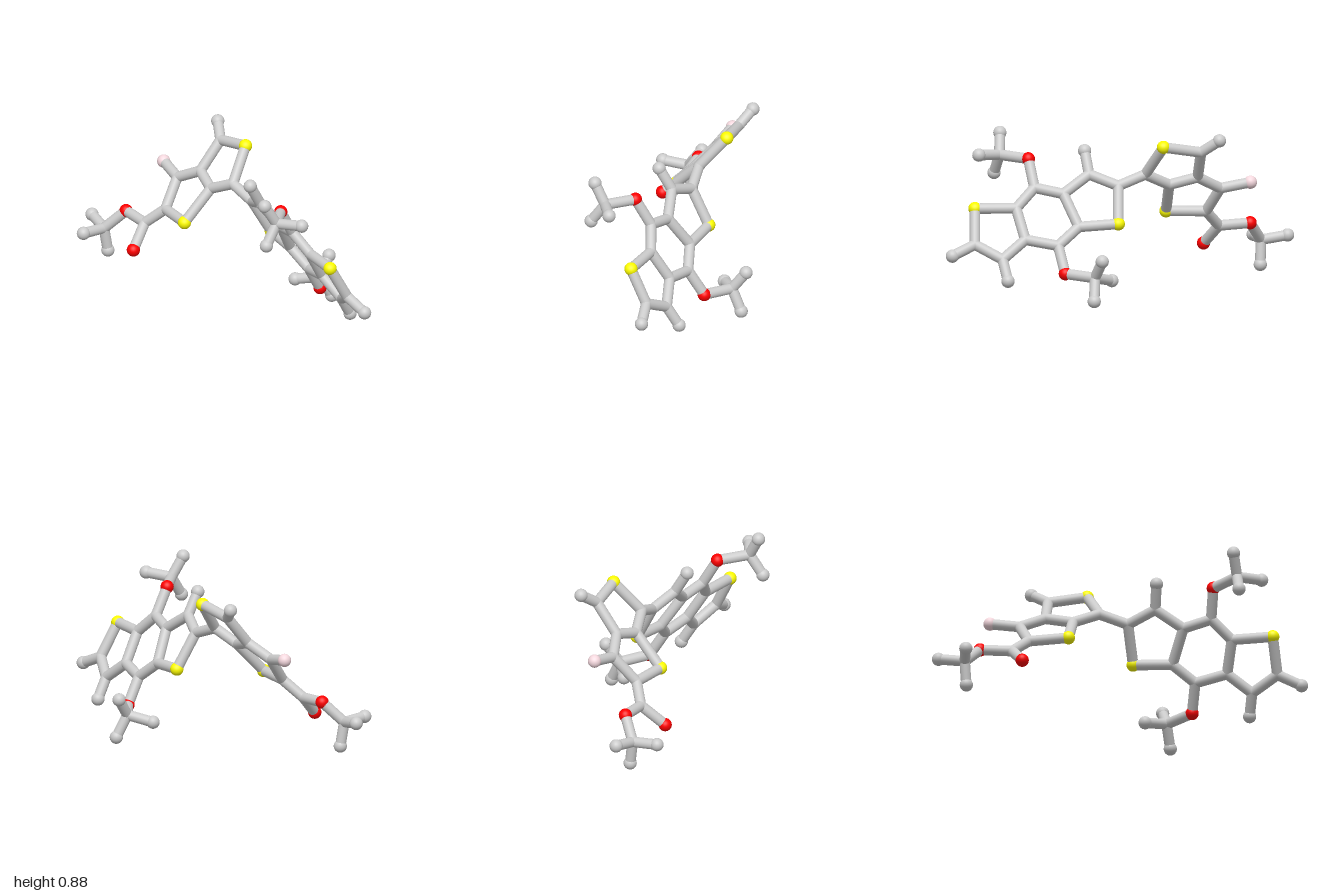
import * as THREE from 'three';

const STICK = 0.028, BALL = 0.035;
const material = (color) => new THREE.MeshStandardMaterial({ color });
const grey = material(0xcccccc);

// Kinds of ball: joints are as wide as the sticks, the rest stand proud
const kinds = {
  joint: { radius: STICK, material: grey },
  endBall: { radius: BALL, material: grey },
  redBall: { radius: BALL, material: material(0xff0000) },
  yellowBall: { radius: BALL, material: material(0xffff00) },
  pinkBall: { radius: BALL, material: material(0xf4d8de) },
};
const kindOf = { c: 'joint', h: 'endBall', o: 'redBall', s: 'yellowBall', f: 'pinkBall' };

// Ball centres, the first letter of the key gives the kind; bonds are chains of keys
const sections = {
  leftRings: {
    atoms: {
      s1: [-0.14, 0.805, -0.19], c2: [-0.345, 0.77, -0.21], h2: [-0.425, 0.835, -0.27],
      c3: [-0.375, 0.62, -0.09], c4: [-0.238, 0.58, -0.03], c5: [-0.094, 0.645, -0.05],
      s6: [-0.282, 0.418, 0.122], c7: [-0.484, 0.414, 0.06], c8: [-0.516, 0.55, -0.06],
      f8: [-0.666, 0.58, -0.11],
    },
    bonds: ['s1 c2 c3 c4 c5 s1', 'c4 s6 c7 c8 c3', 'c2 h2', 'c8 f8'],
  },
  leftSideChain: {
    atoms: {
      c9: [-0.58, 0.324, 0.118], o9: [-0.543, 0.217, 0.24], o10: [-0.746, 0.333, 0.09],
      c10: [-0.837, 0.228, 0.163], h10: [-0.97, 0.252, 0.118],
      h11: [-0.826, 0.1, 0.145], h12: [-0.85, 0.237, 0.303],
    },
    bonds: ['c7 c9 o10 c10 h10', 'c9 o9', 'h11 c10 h12'],
  },
  rightRings: {
    atoms: {
      c11: [0.056, 0.592, -0.043], s12: [0.097, 0.406, -0.143], c13: [0.297, 0.393, -0.084],
      c14: [0.34, 0.556, 0.025], c15: [0.19, 0.65, 0.035], h15: [0.187, 0.766, 0.104],
      c16: [0.479, 0.588, 0.086], c17: [0.592, 0.488, 0.063], c18: [0.58, 0.334, -0.035],
      c19: [0.42, 0.302, -0.1], s20: [0.8, 0.49, 0.126], c21: [0.837, 0.313, 0.036],
      h21: [0.965, 0.259, 0.035], c22: [0.714, 0.238, -0.047], h22: [0.71, 0.132, -0.113],
    },
    bonds: ['c5 c11 s12 c13 c14 c15 c11', 'c14 c16 c17 c18 c19 c13', 'c17 s20 c21 c22 c18',
      'c15 h15', 'c21 h21', 'c22 h22'],
  },
  upperBranch: {
    atoms: {
      o23: [0.479, 0.73, 0.17], c23: [0.586, 0.739, 0.31], h23: [0.559, 0.847, 0.37],
      h24: [0.723, 0.751, 0.26], h25: [0.586, 0.634, 0.385],
    },
    bonds: ['c16 o23 c23 h23', 'h24 c23 h25'],
  },
  lowerBranch: {
    atoms: {
      o26: [0.415, 0.165, -0.186], c26: [0.297, 0.153, -0.31], h26: [0.286, 0.249, -0.383],
      h27: [0.324, 0.037, -0.365], h28: [0.174, 0.123, -0.243],
    },
    bonds: ['c19 o26 c26 h26', 'h27 c26 h28'],
  },
};

const sphere = new THREE.SphereGeometry(1, 24, 16);
const rod = new THREE.CylinderGeometry(STICK, STICK, 1, 20);
const UP = new THREE.Vector3(0, 1, 0);

function makeBall(kind, position) {
  const ball = new THREE.Mesh(sphere, kinds[kind].material);
  ball.name = kind;
  ball.position.copy(position);
  ball.scale.setScalar(kinds[kind].radius);
  return ball;
}

function makeStick(a, b) {
  const stick = new THREE.Mesh(rod, grey);
  const along = b.clone().sub(a);
  stick.name = 'stick';
  stick.position.copy(a).lerp(b, 0.5);
  stick.scale.y = along.length();
  stick.quaternion.setFromUnitVectors(UP, along.normalize());
  return stick;
}

export function createModel() {
  const model = new THREE.Group();
  model.name = 'ballAndStickModel';
  const points = {};
  for (const [name, { atoms, bonds }] of Object.entries(sections)) {
    const group = new THREE.Group();
    group.name = name;
    // Balls and joints
    for (const [key, xyz] of Object.entries(atoms)) {
      points[key] = new THREE.Vector3(...xyz);
      group.add(makeBall(kindOf[key[0]], points[key]));
    }
    // Sticks along each chain
    for (const chain of bonds) {
      const keys = chain.split(' ');
      for (let i = 1; i < keys.length; i++) group.add(makeStick(points[keys[i - 1]], points[keys[i]]));
    }
    model.add(group);
  }
  return model;
}
